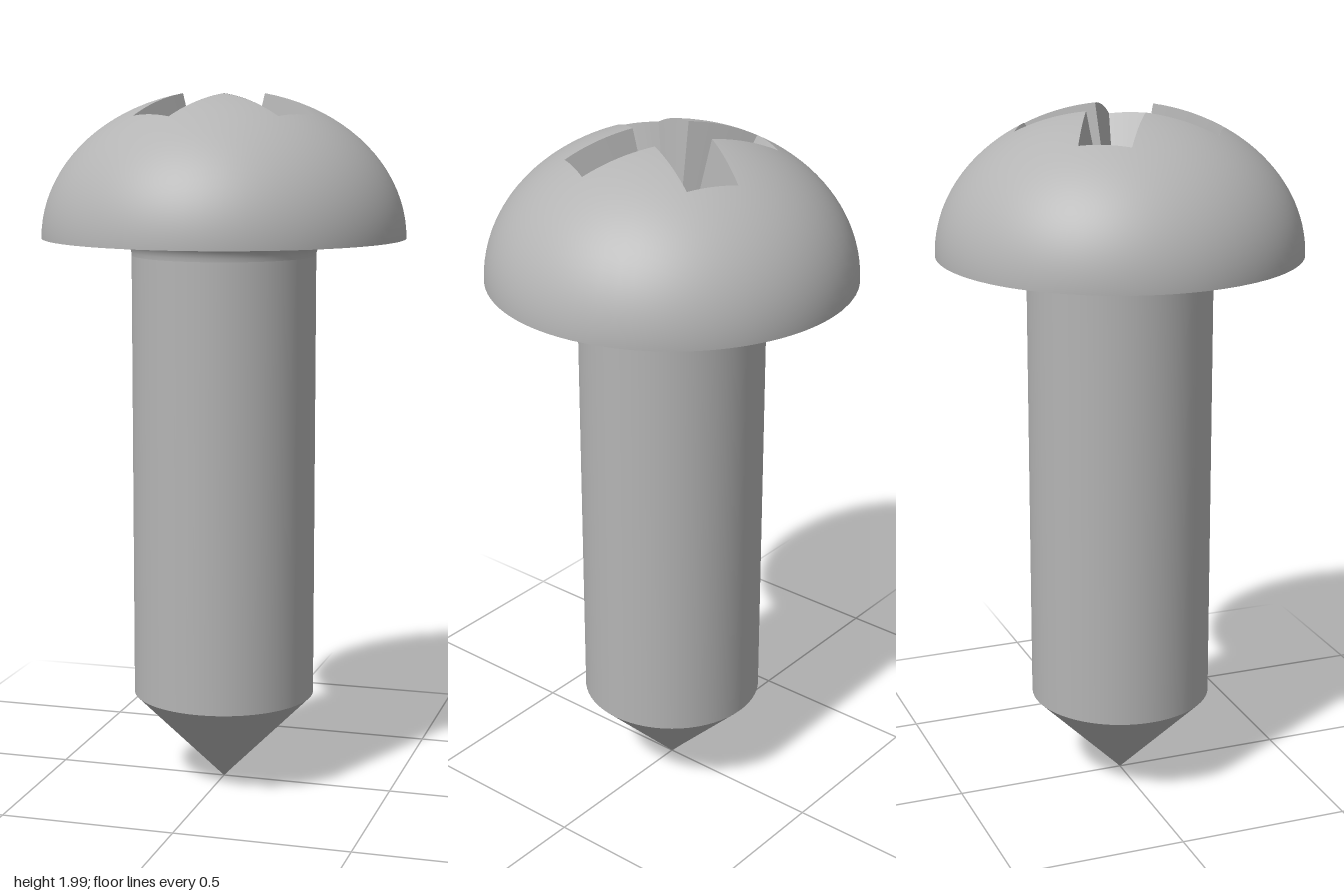
import * as THREE from 'three';

const HEAD_R = 0.515, HEAD_Y = 1.595, HEAD_H = 0.412; // half-ellipsoid head
const SHANK_R = 0.262, FILLET = 0.05;
const RECESS_BOTTOM = 1.5;
const EDGE_STEPS = 10, RINGS = 20;

// Height of the domed head above a point in plan
const domeY = (r) => HEAD_Y + HEAD_H * Math.sqrt(Math.max(0, 1 - (r / HEAD_R) ** 2));

// Cross outline in plan (x, z): one arm turned four times, edges subdivided
function crossOutline() {
  const arm = [[0.11, -0.032], [0.28, 0.073], [0.21, 0.197]];
  const corners = [];
  for (let i = 0; i < 4; i++) {
    const c = Math.round(Math.cos(i * Math.PI / 2)), s = Math.round(Math.sin(i * Math.PI / 2));
    for (const [x, z] of arm) corners.push(new THREE.Vector2(x * c - z * s, x * s + z * c));
  }
  return corners.flatMap((a, i) => {
    const b = corners[(i + 1) % corners.length];
    return Array.from({ length: EDGE_STEPS }, (_, k) => a.clone().lerp(b, k / EDGE_STEPS));
  });
}

// Domed surface running from the cross outline down to the head's rim
function domeGeometry(outline) {
  const pos = [], nor = [], idx = [];
  const n = outline.length;
  for (let i = 0; i <= n; i++) {
    const p = outline[i % n];
    const angle = Math.atan2(p.y, p.x);
    const start = Math.asin(p.length() / HEAD_R);
    for (let j = 0; j <= RINGS; j++) {
      const t = start + (Math.PI / 2 - start) * j / RINGS;
      const r = HEAD_R * Math.sin(t), h = HEAD_H * Math.cos(t);
      const x = r * Math.cos(angle), z = r * Math.sin(angle);
      pos.push(x, HEAD_Y + h, z);
      const v = new THREE.Vector3(x / HEAD_R ** 2, h / HEAD_H ** 2, z / HEAD_R ** 2).normalize();
      nor.push(v.x, v.y, v.z);
      if (i < n && j < RINGS) {
        const a = i * (RINGS + 1) + j, b = a + RINGS + 1;
        idx.push(a, b, a + 1, b, b + 1, a + 1);
      }
    }
  }
  const g = new THREE.BufferGeometry();
  g.setAttribute('position', new THREE.Float32BufferAttribute(pos, 3));
  g.setAttribute('normal', new THREE.Float32BufferAttribute(nor, 3));
  g.setIndex(idx);
  return g;
}

// Recess walls: faces falling from the outline to one central point
function recessGeometry(outline) {
  const pos = [];
  outline.forEach((a, i) => {
    const b = outline[(i + 1) % outline.length];
    pos.push(0, RECESS_BOTTOM, 0, b.x, domeY(b.length()), b.y, a.x, domeY(a.length()), a.y);
  });
  const g = new THREE.BufferGeometry();
  g.setAttribute('position', new THREE.Float32BufferAttribute(pos, 3));
  g.computeVertexNormals();
  return g;
}

const lathe = (points) =>
  new THREE.LatheGeometry(points.map(([r, y]) => new THREE.Vector2(r, y)), 64);

export function createModel() {
  const model = new THREE.Group();
  model.name = 'screw';
  const metal = new THREE.MeshStandardMaterial({ color: 0xb4b4b4 });
  metal.name = 'grey metal';

  const add = (name, geometry) => {
    const mesh = new THREE.Mesh(geometry, metal);
    mesh.name = name;
    model.add(mesh);
  };

  // Pointed end and straight shank
  add('tip', lathe([[0, 0.004], [SHANK_R, 0.267]]));
  add('shank', lathe([[SHANK_R, 0.267], [SHANK_R, HEAD_Y - FILLET]]));

  // Rounded neck flaring into the head
  const neck = [];
  for (let i = 0; i <= 8; i++) {
    const t = i / 8 * Math.PI / 2;
    neck.push([SHANK_R + FILLET * (1 - Math.cos(t)), HEAD_Y - FILLET * (1 - Math.sin(t))]);
  }
  add('neckFillet', lathe(neck));

  // Head: flat underside, dome and cross recess
  add('headUnderside', lathe([[SHANK_R + FILLET, HEAD_Y], [HEAD_R, HEAD_Y]]));
  const outline = crossOutline();
  add('headDome', domeGeometry(outline));
  add('crossRecess', recessGeometry(outline));

  return model;
}
